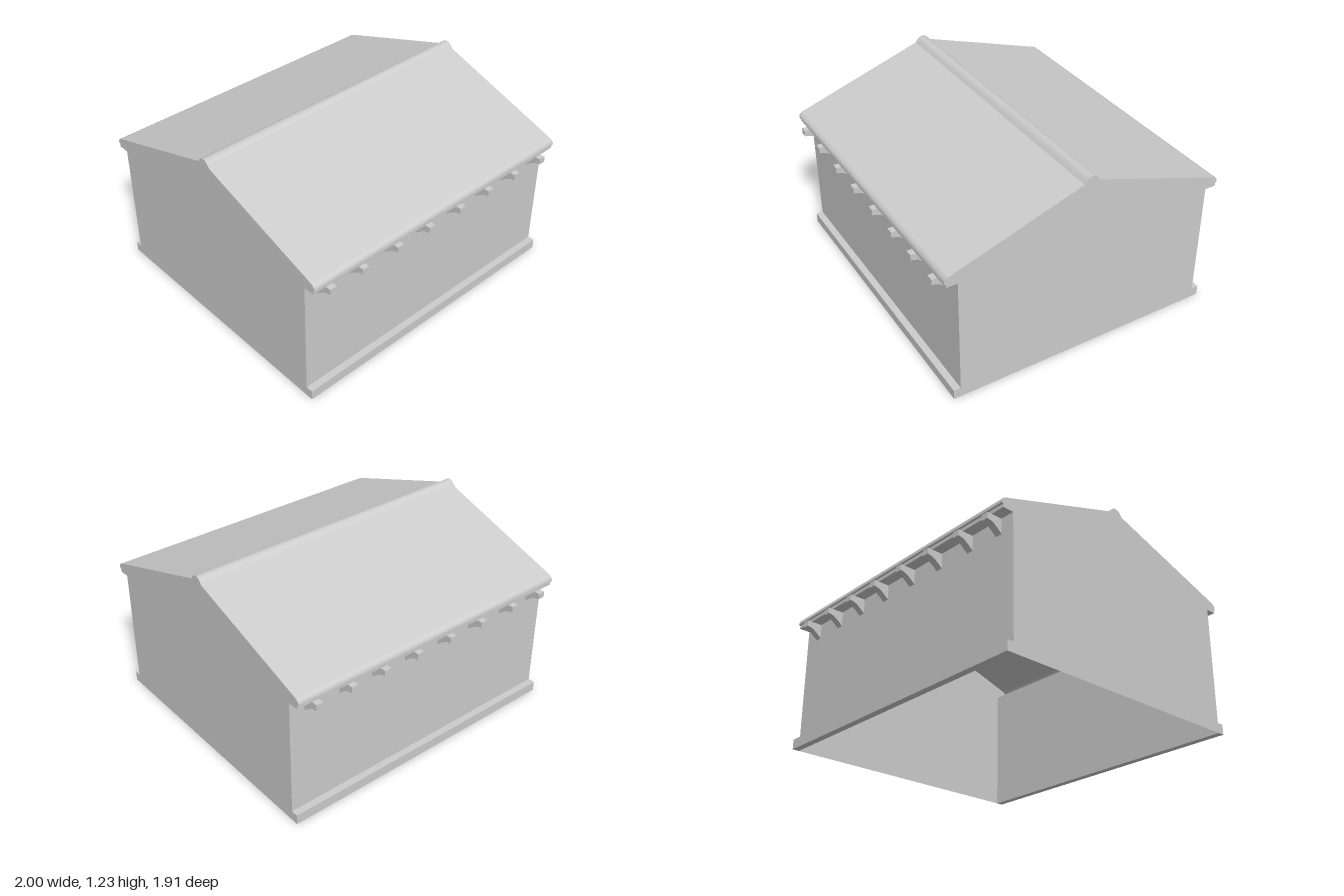
import * as THREE from 'three';
import { toCreasedNormals } from 'three/addons/utils/BufferGeometryUtils.js';

const HALF_LENGTH = 1;

// Outline points are [z, y].
const WALL = [[0.85, 0], [0.85, 0.84]];
const EAVES = [[0.85, 0.84], [0.922, 0.84], [0.922, 0.862], [0.932, 0.866], [0.932, 0.88], [0.925, 0.895], [0.908, 0.906]];
const SLOPE = [[0.908, 0.906], [0.052, 1.19]];
const RIDGE = [[0.052, 1.19], [0.04, 1.206], [0.028, 1.22], [0.012, 1.229]];
const BRACKET = [[0.85, 0.742], [0.876, 0.764], [0.905, 0.786], [0.93, 0.796], [0.955, 0.8], [0.955, 0.838], [0.85, 0.838]];
const BRACKET_X = [-0.885, -0.645, -0.375, -0.12, 0.14, 0.39, 0.63, 0.875];

const mirrored = (points) => points.map(([z, y]) => [-z, y]).reverse();
const toShape = (points) => new THREE.Shape(points.map(([z, y]) => new THREE.Vector2(z, y)));

// Sweeps an open outline along the length of the building.
function sweep(points) {
  const pos = [];
  for (let i = 0; i < points.length - 1; i++) {
    const [z0, y0] = points[i];
    const [z1, y1] = points[i + 1];
    const L = HALF_LENGTH;
    pos.push(-L, y0, z0, L, y0, z0, L, y1, z1, -L, y0, z0, L, y1, z1, -L, y1, z1);
  }
  const geometry = new THREE.BufferGeometry();
  geometry.setAttribute('position', new THREE.Float32BufferAttribute(pos, 3));
  return toCreasedNormals(geometry, 0.7);
}

export function createModel() {
  const model = new THREE.Group();
  const grey = new THREE.MeshStandardMaterial({ color: 0xcccccc, side: THREE.DoubleSide });
  grey.name = 'plain grey';

  const add = (name, geometry) => {
    const mesh = new THREE.Mesh(geometry, grey);
    mesh.name = name;
    model.add(mesh);
    return mesh;
  };

  // Long walls, eaves and roof slopes, front and back
  for (const [side, flip] of [['front', (p) => p], ['back', mirrored]]) {
    add(side + 'Wall', sweep(flip(WALL)));
    add(side + 'Eaves', sweep(flip(EAVES)));
    add(side + 'RoofSlope', sweep(flip(SLOPE)));
  }

  // Rounded ridge cap
  add('ridgeCap', sweep([...RIDGE, ...mirrored(RIDGE)]));

  // Flat gable ends closing the hollow shell
  const half = [...WALL, ...EAVES.slice(1), ...SLOPE.slice(1), ...RIDGE.slice(1)];
  const gable = toShape([...half, ...mirrored(half)]);
  for (const s of [-1, 1]) {
    const geometry = new THREE.ShapeGeometry(gable).rotateY(s * Math.PI / 2);
    add(s > 0 ? 'leftGable' : 'rightGable', geometry).position.x = s * HALF_LENGTH;
  }

  // Plinths along the foot of the long walls
  for (const s of [-1, 1]) {
    add(s > 0 ? 'frontPlinth' : 'backPlinth', new THREE.BoxGeometry(2 * HALF_LENGTH, 0.065, 0.045))
      .position.set(0, 0.0325, s * 0.8725);
  }

  // Curved brackets under the eaves
  const bracket = new THREE.ExtrudeGeometry(toShape(BRACKET), { depth: 0.046, bevelEnabled: false })
    .translate(0, 0, -0.023);
  for (const s of [-1, 1]) {
    const geometry = bracket.clone().rotateY(-s * Math.PI / 2);
    for (const x of BRACKET_X) add(s > 0 ? 'frontBracket' : 'backBracket', geometry).position.x = x;
  }

  return model;
}
